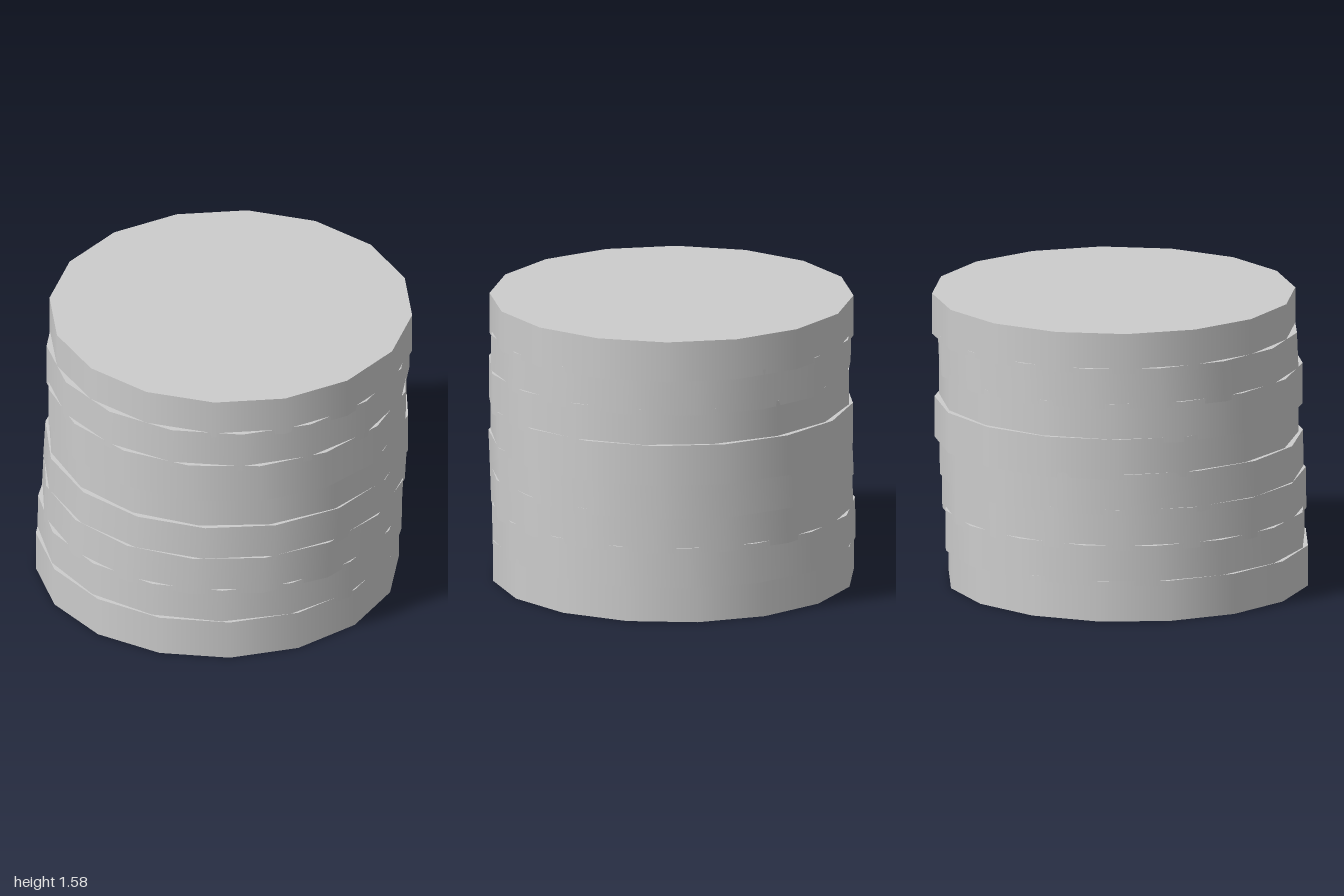
import * as THREE from 'three';

const RADIUS = 0.975, THICKNESS = 0.222, TOTAL = 1.58, SIDES = 16;

// Discs from bottom to top: centre x, centre z, turn in degrees, lean in x and z
const DISCS = [
  [-0.035, 0.035, -8.7, 0, 0],
  [-0.025, 0.02, 10.5, 0.004, 0],
  [-0.01, 0.02, 0.5, 0.01, 0],
  [0.002, 0.01, 3.2, 0.012, 0],
  [0.016, -0.013, 0.7, 0, 0],
  [0.015, 0.012, -2.3, 0, 0],
  [0.015, -0.005, -8.2, 0, -0.01],
  [0.027, -0.025, 4.7, 0, 0],
];

export function createModel() {
  const model = new THREE.Group();
  model.name = 'discStack';
  const grey = new THREE.MeshStandardMaterial({ color: 0xcccccc });
  grey.name = 'lightGrey';

  const step = (TOTAL - THICKNESS) / (DISCS.length - 1);
  DISCS.forEach(([x, z, turn, leanX, leanZ], i) => {
    const geometry = new THREE.CylinderGeometry(
      RADIUS, RADIUS, THICKNESS, SIDES, 1, false, THREE.MathUtils.degToRad(turn));

    // Slide the upper rim slightly over the lower one
    const p = geometry.attributes.position;
    for (let v = 0; v < p.count; v++) {
      const t = p.getY(v) / THICKNESS;
      p.setX(v, p.getX(v) + leanX * t);
      p.setZ(v, p.getZ(v) + leanZ * t);
    }

    const disc = new THREE.Mesh(geometry, grey);
    disc.name = `disc${i + 1}`;
    disc.position.set(x, THICKNESS / 2 + i * step, z);
    model.add(disc);
  });
  return model;
}
